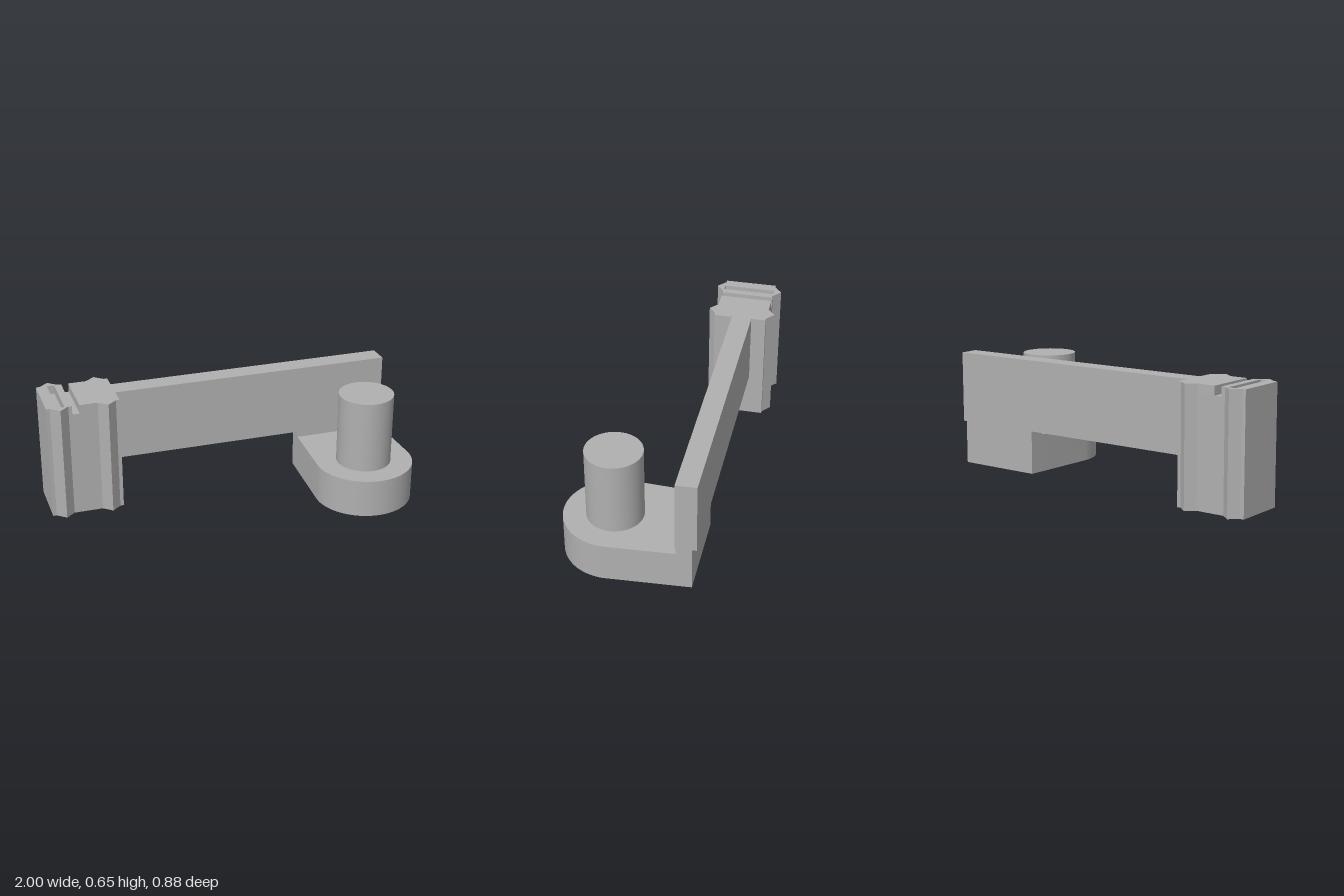
import * as THREE from 'three';
import { toCreasedNormals } from 'three/addons/utils/BufferGeometryUtils.js';

const BACK = -0.395, FRONT = -0.1, RIDGE = 0.042;

// Shape from plan points [x, z]; shape y is -z so the extrusion stands upright
const plan = (points) => new THREE.Shape(points.map(([x, z]) => new THREE.Vector2(x, -z)));

// Extrude a plan shape from height y0 to y1
function upright(shape, y0, y1) {
  const g = new THREE.ExtrudeGeometry(shape, { depth: y1 - y0, bevelEnabled: false, curveSegments: 48 });
  g.rotateX(-Math.PI / 2).translate(0, y0, 0);
  return toCreasedNormals(g, 0.5);
}

// Block outline between x0 and x1 with pointed ridges on the front and back
function ridgedPlan(x0, x1, peaks) {
  const edge = (z, dir) => [
    [x0, z],
    ...peaks.flatMap((p) => [[p - 0.05, z], [p, z + dir * RIDGE], [p + 0.05, z]]),
    [x1, z],
  ];
  return plan([...edge(FRONT, 1), ...edge(BACK, -1).reverse()]);
}

export function createModel() {
  const model = new THREE.Group();
  model.name = 'bracket';
  const grey = new THREE.MeshStandardMaterial({ color: 0xb0b0b0 });
  grey.name = 'grey';

  const add = (name, geometry, parent = model) => {
    const mesh = new THREE.Mesh(geometry, grey);
    mesh.name = name;
    parent.add(mesh);
    return mesh;
  };

  // Ridged clip block with an open groove and a closed slot in its top
  const clip = new THREE.Group();
  clip.name = 'clipBlock';
  model.add(clip);
  add('clipBody', upright(ridgedPlan(-1, -0.6, [-0.93, -0.67]), 0, 0.6), clip);
  add('clipTopInner', upright(ridgedPlan(-0.82, -0.6, [-0.67]), 0.6, 0.65), clip);
  const outer = ridgedPlan(-1, -0.86, [-0.93]);
  outer.holes.push(plan([[-0.94, FRONT - 0.001], [-0.94, BACK + 0.001], [-0.9, BACK + 0.001], [-0.9, FRONT - 0.001]]));
  add('clipTopOuter', upright(outer, 0.6, 0.65), clip);

  // Long flat arm, its free end following the taper of the foot
  add('arm', upright(plan([[-0.6, -0.2], [0.977, -0.2], [0.972, -0.313], [-0.6, -0.313]]), 0.25, 0.65));

  // Foot with a round front and slightly tapered sides
  const foot = new THREE.Shape();
  foot.moveTo(0.472, 0.29);
  foot.lineTo(0.453, -0.165);
  foot.absarc(0.726, -0.165, 0.273, Math.PI, Math.PI * 2, false);
  foot.lineTo(0.973, 0.29);
  add('foot', upright(foot, 0, 0.214));

  // Riser joining the foot to the underside of the arm
  add('footRiser', upright(plan([[0.468, -0.205], [0.977, -0.205], [0.973, -0.29], [0.472, -0.29]]), 0.214, 0.25));

  // Round peg
  const peg = new THREE.CylinderGeometry(0.152, 0.152, 0.406, 64);
  peg.translate(0.725, 0.417, 0.165);
  add('peg', peg);

  return model;
}
